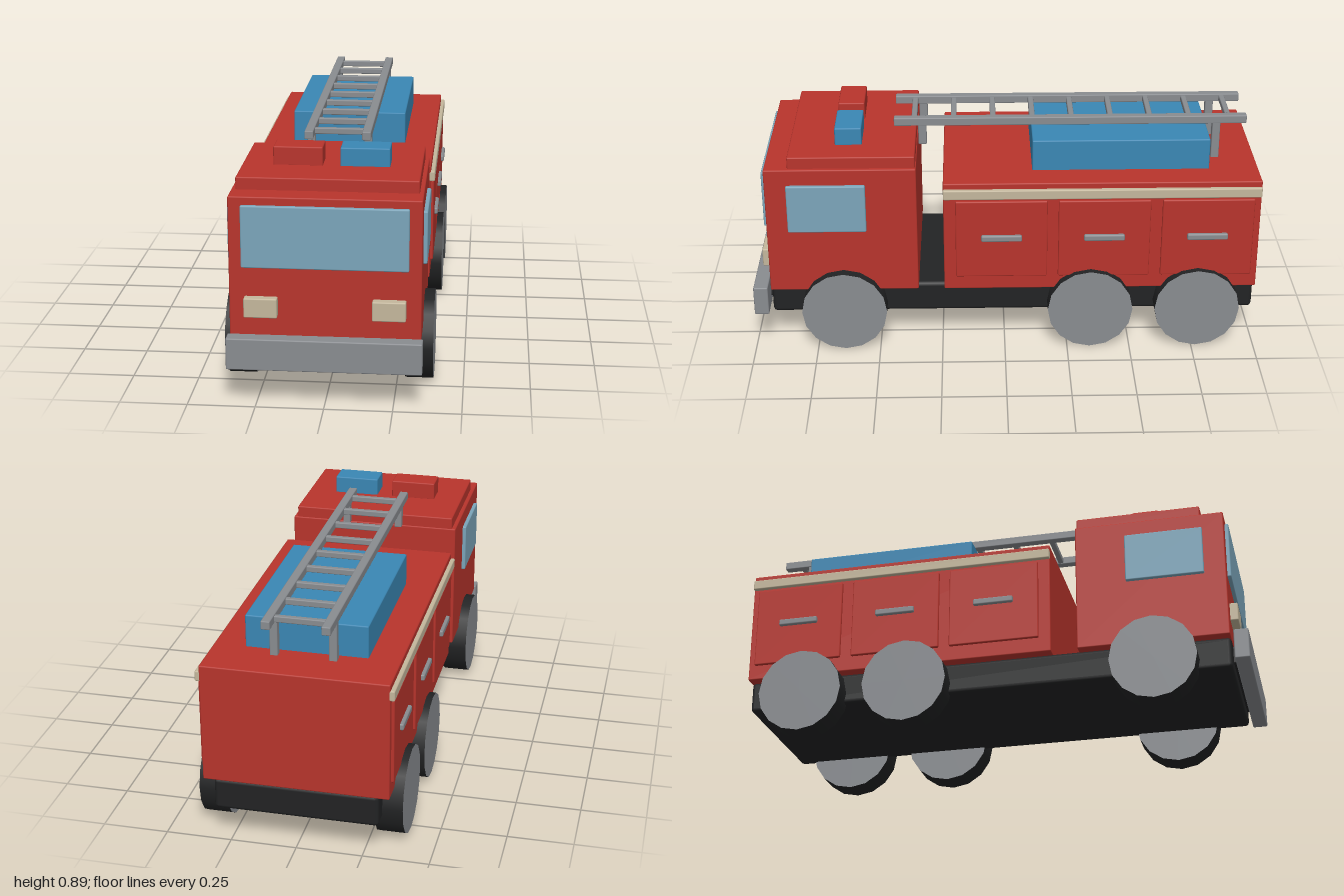
import * as THREE from 'three';
import { RoundedBoxGeometry } from 'three/addons/geometries/RoundedBoxGeometry.js';

const paint = (name, color) => {
  const m = new THREE.MeshStandardMaterial({ color });
  m.name = name;
  return m;
};

export function createModel() {
  const red = paint('red', 0xb8342c);
  const blue = paint('blue', 0x3a87b4);
  const glass = paint('glass', 0x7ba5ba);
  const grey = paint('grey', 0x898c90);
  const black = paint('black', 0x222324);
  const cream = paint('cream', 0xc4b79c);

  const truck = new THREE.Group();
  truck.name = 'fireTruck';

  // Softly bevelled box given by its limits on each axis
  function box(name, mat, [x0, x1], [y0, y1], [z0, z1], bevel = 0.005, parent = truck) {
    const mesh = new THREE.Mesh(
      new RoundedBoxGeometry(x1 - x0, y1 - y0, z1 - z0, 1, bevel), mat);
    mesh.position.set((x0 + x1) / 2, (y0 + y1) / 2, (z0 + z1) / 2);
    mesh.name = name;
    parent.add(mesh);
    return mesh;
  }
  // The same box on both sides of the truck
  function pair(name, mat, [x0, x1], y, z, bevel, parent) {
    box(name + 'Left', mat, [x0, x1], y, z, bevel, parent);
    box(name + 'Right', mat, [-x1, -x0], y, z, bevel, parent);
  }

  // Chassis and bumper
  box('chassis', black, [-0.31, 0.31], [0.13, 0.255], [-0.998, 0.93], 0.015);
  box('bumper', grey, [-0.355, 0.355], [0.143, 0.263], [0.942, 1]);
  box('bumperMount', black, [-0.25, 0.25], [0.17, 0.24], [0.9, 0.95]);

  // Cab
  box('cab', red, [-0.348, 0.348], [0.25, 0.776], [0.342, 0.93]);
  box('cabRoof', red, [-0.332, 0.332], [0.77, 0.822], [0.346, 0.838]);
  box('windscreen', glass, [-0.302, 0.302], [0.514, 0.746], [0.92, 0.945]);
  pair('sideWindow', glass, [0.335, 0.363], [0.514, 0.712], [0.54, 0.846]);
  pair('headlight', cream, [0.171, 0.293], [0.33, 0.404], [0.92, 0.961]);

  // Roof beacons
  box('redBeacon', red, [-0.217, -0.033], [0.818, 0.891], [0.555, 0.66]);
  box('blueBeacon', blue, [0.031, 0.215], [0.818, 0.891], [0.555, 0.66]);

  // Rear body with stripe, locker doors and handles
  box('body', red, [-0.35, 0.35], [0.25, 0.713], [-1, 0.24]);
  pair('stripe', cream, [0.34, 0.366], [0.65, 0.69], [-0.999, 0.24]);
  [0.013, -0.39, -0.795].forEach((z) => {
    pair('lockerDoor', red, [0.335, 0.361], [0.31, 0.64], [z - 0.18, z + 0.18]);
    pair('doorHandle', grey, [0.355, 0.375], [0.47, 0.496], [z - 0.08, z + 0.08], 0.006);
  });
  box('equipmentBox', blue, [-0.23, 0.23], [0.705, 0.838], [-0.806, -0.11]);

  // Ladder on four posts
  const ladder = new THREE.Group();
  ladder.name = 'ladder';
  truck.add(ladder);
  pair('rail', grey, [0.093, 0.127], [0.86, 0.893], [-0.96, 0.432], 0.004, ladder);
  for (let i = 0; i < 9; i++) {
    const z = -0.888 + i * 0.155;
    box('rung', grey, [-0.1, 0.1], [0.864, 0.888], [z - 0.011, z + 0.011], 0.004, ladder);
  }
  pair('frontPost', grey, [0.095, 0.125], [0.78, 0.866], [0.304, 0.337], 0.004, ladder);
  pair('rearPost', grey, [0.095, 0.125], [0.71, 0.866], [-0.857, -0.825], 0.004, ladder);

  // Wheels: dark tread with plain grey faces
  const wheelShape = new THREE.CylinderGeometry(0.169, 0.169, 0.106, 16).rotateZ(Math.PI / 2);
  for (const z of [0.638, -0.34, -0.766]) {
    for (const side of [1, -1]) {
      const wheel = new THREE.Mesh(wheelShape, [black, grey, grey]);
      wheel.position.set(side * 0.334, 0.17, z);
      wheel.name = side > 0 ? 'wheelLeft' : 'wheelRight';
      truck.add(wheel);
    }
  }
  return truck;
}
